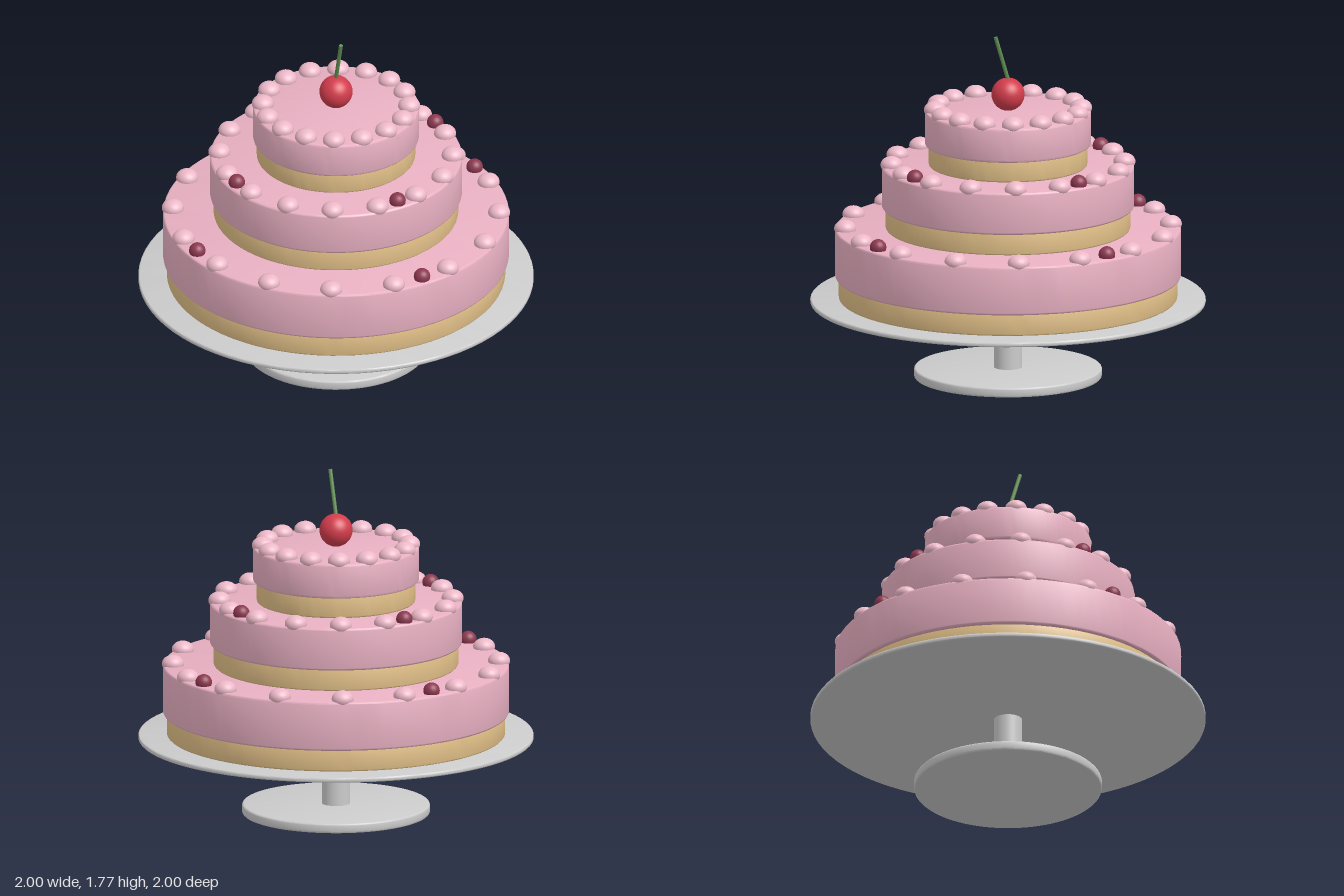
import * as THREE from 'three';
import { toCreasedNormals } from 'three/addons/utils/BufferGeometryUtils.js';

const paint = (color) => new THREE.MeshStandardMaterial({ color });
const grey = paint(0xcccccc);
const sponge = paint(0xe2c088);
const icing = paint(0xe8b0c2);
const cream = paint(0xecb8c8);
const berryRed = paint(0x8c3850);
const cherryRed = paint(0xd23c4c);
const leafGreen = paint(0x5f8f50);

function addMesh(parent, name, geometry, material, y = 0) {
  const mesh = new THREE.Mesh(geometry, material);
  mesh.name = name;
  mesh.position.y = y;
  parent.add(mesh);
  return mesh;
}

// Round slab from y0 to y1 with softly rounded rims
function slab(radius, y0, y1, bevel) {
  const points = [new THREE.Vector2(0, y0)];
  for (let i = 0; i <= 3; i++) {
    const a = -Math.PI / 2 + (i * Math.PI) / 6;
    points.push(new THREE.Vector2(radius - bevel + bevel * Math.cos(a), y0 + bevel + bevel * Math.sin(a)));
  }
  for (let i = 0; i <= 3; i++) {
    const a = (i * Math.PI) / 6;
    points.push(new THREE.Vector2(radius - bevel + bevel * Math.cos(a), y1 - bevel + bevel * Math.sin(a)));
  }
  points.push(new THREE.Vector2(0, y1));
  return toCreasedNormals(new THREE.LatheGeometry(points, 80), 0.7);
}

// Evenly spaced decorations around a circle
function ring(parent, name, geometry, material, count, radius, y, offset = 0) {
  const group = new THREE.Group();
  group.name = name + 'Ring';
  for (let i = 0; i < count; i++) {
    const a = offset + (i * Math.PI * 2) / count;
    const mesh = addMesh(group, name, geometry, material, y);
    mesh.position.x = Math.cos(a) * radius;
    mesh.position.z = Math.sin(a) * radius;
  }
  parent.add(group);
}

export function createModel() {
  const model = new THREE.Group();
  model.name = 'tieredCake';

  // Cake stand
  const stand = new THREE.Group();
  stand.name = 'cakeStand';
  model.add(stand);
  addMesh(stand, 'standFoot', slab(0.475, 0, 0.05, 0.01), grey);
  addMesh(stand, 'standColumn', new THREE.CylinderGeometry(0.072, 0.072, 0.35, 40), grey, 0.22);
  addMesh(stand, 'standPlate', slab(1, 0.385, 0.41, 0.008), grey);

  // Tiers: sponge below, wider icing above, cream dollops and berries on the rim
  const dollop = new THREE.SphereGeometry(0.056, 24, 16).scale(1, 0.78, 1);
  const berry = new THREE.SphereGeometry(0.042, 20, 14);
  const tiers = [
    { name: 'bottomTier', radius: 0.875, base: 0.41, seam: 0.52, top: 0.773, ring: 0.825, berries: true },
    { name: 'middleTier', radius: 0.638, base: 0.773, seam: 0.882, top: 1.1, ring: 0.59, berries: true },
    { name: 'topTier', radius: 0.42, base: 1.1, seam: 1.205, top: 1.383, ring: 0.37, berries: false },
  ];
  for (const t of tiers) {
    const tier = new THREE.Group();
    tier.name = t.name;
    model.add(tier);
    addMesh(tier, 'sponge', slab(t.radius - 0.019, t.base, t.seam + 0.01, 0.008), sponge);
    addMesh(tier, 'icing', slab(t.radius, t.seam, t.top, 0.012), icing);
    ring(tier, 'dollop', dollop, cream, 16, t.ring, t.top + 0.008);
    if (t.berries) ring(tier, 'berry', berry, berryRed, 4, t.ring, t.top + 0.015, (79 * Math.PI) / 180);
  }

  // Cherry with a stem leaning forward
  addMesh(model, 'cherry', new THREE.SphereGeometry(0.084, 40, 28), cherryRed, 1.466);
  const from = new THREE.Vector3(0, 1.53, -0.004);
  const to = new THREE.Vector3(0, 1.768, 0.07);
  const stem = addMesh(model, 'cherryStem', new THREE.CylinderGeometry(0.01, 0.01, from.distanceTo(to), 12), leafGreen);
  stem.position.copy(from).lerp(to, 0.5);
  stem.quaternion.setFromUnitVectors(new THREE.Vector3(0, 1, 0), to.clone().sub(from).normalize());

  return model;
}
